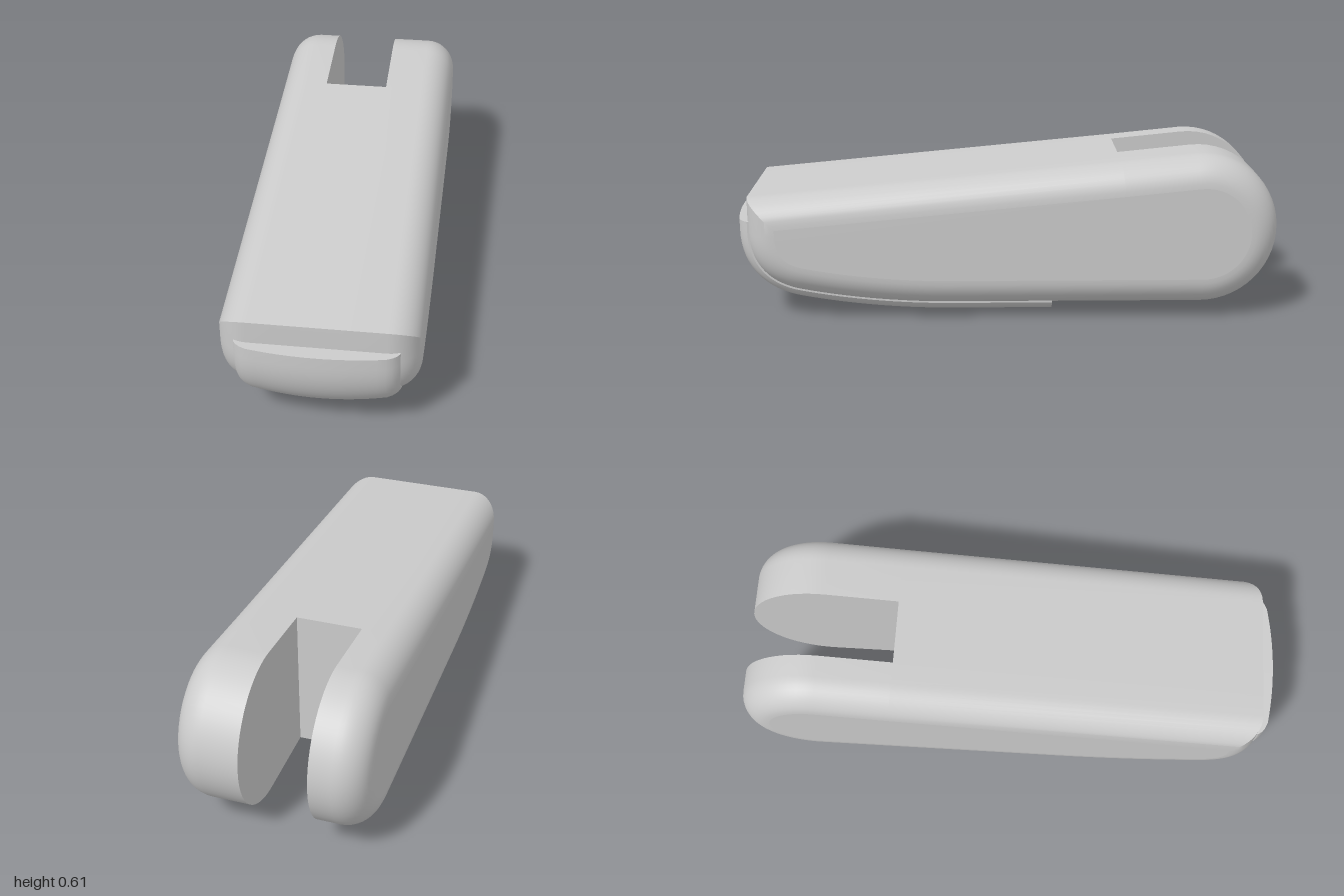
import * as THREE from 'three';
import { toCreasedNormals } from 'three/addons/utils/BufferGeometryUtils.js';

const material = new THREE.MeshStandardMaterial({ color: 0xcccccc });
const V = (z, y) => new THREE.Vector2(-z, y); // side profile point, seen from +x

// Moves a side profile outwards by d, with mitred corners.
function offset(points, d, closed = true) {
  const n = points.length;
  const normal = (a, b) => new THREE.Vector2(a.y - b.y, b.x - a.x).normalize();
  return points.map((p, i) => {
    const prev = points[(i + n - 1) % n], next = points[(i + 1) % n];
    let n1 = normal(prev, p), n2 = normal(p, next);
    if (!closed && i === 0) n1 = n2;
    if (!closed && i === n - 1) n2 = n1;
    return n1.clone().add(n2).multiplyScalar(d / (1 + n1.dot(n2))).add(p);
  });
}

function geometryFrom(corners) {
  const g = new THREE.BufferGeometry();
  g.setAttribute('position', new THREE.Float32BufferAttribute(corners, 3));
  return g;
}

// Skins closed rings { x, pts } given in order of rising x.
function loft(rings) {
  const out = [];
  const put = (r, k) => out.push(r.x, r.pts[k].y, -r.pts[k].x);
  for (let i = 0; i + 1 < rings.length; i++) {
    const a = rings[i], b = rings[i + 1], n = a.pts.length;
    for (let j = 0; j < n; j++) {
      const k = (j + 1) % n;
      put(a, j); put(b, j); put(a, k);
      put(b, j); put(b, k); put(a, k);
    }
  }
  return toCreasedNormals(geometryFrom(out), 0.5);
}

// Flat face of a convex profile at x, facing +x (dir 1) or -x (dir -1).
function cap(pts, x, dir) {
  const out = [];
  for (let j = 1; j + 1 < pts.length; j++) {
    const order = dir > 0 ? [0, j + 1, j] : [0, j, j + 1];
    for (const k of order) out.push(x, pts[k].y, -pts[k].x);
  }
  const g = geometryFrom(out);
  g.computeVertexNormals();
  return g;
}

export function createModel() {
  const model = new THREE.Group();
  const add = (name, geometry, parent = model) => {
    const mesh = new THREE.Mesh(geometry, material);
    mesh.name = name;
    parent.add(mesh);
  };

  const base = 0.052, nose = 0.948, slotZ = -0.42;
  const slotRight = -0.15, slotLeft = 0.09, half = 0.34, round = 0.11;

  // Underside curve, from the flat bottom up to the upright nose
  const belly = new THREE.CubicBezierCurve(V(0.2, base), V(0.4, base), V(0.6, 0.073), V(0.76, 0.105)).getPoints(10);
  const chin = new THREE.CubicBezierCurve(V(0.76, 0.105), V(0.87, 0.127), V(nose, 0.2), V(nose, 0.33)).getPoints(16);
  const under = [...belly, ...chin.slice(1)];

  // Full side profile: slot top, round back end, slot bottom, underside, nose
  const rear = [V(slotZ, 0.585)];
  for (let i = 0; i <= 28; i++) {
    const a = 0.095 - (i / 28) * (Math.PI + 0.095);
    rear.push(V(-0.72 + 0.28 * Math.sin(a), 0.333 + 0.281 * Math.cos(a)));
  }
  // the arc runs from the top, round the back, to the bottom
  rear.push(V(slotZ, base));
  const profile = [...rear, ...under, V(nose, 0.455)];
  const front = [rear[0], rear[rear.length - 1], ...under, V(nose, 0.455)];

  // Body sides with rounded edges, each ending in one prong of the fork
  for (const side of [1, -1]) {
    const group = new THREE.Group();
    group.name = side > 0 ? 'leftSide' : 'rightSide';
    model.add(group);
    const inner = side > 0 ? slotLeft : slotRight;
    const rings = [{ x: inner, pts: profile }];
    for (let i = 0; i <= 10; i++) {
      const t = (i / 10) * Math.PI / 2;
      rings.push({
        x: side * (half - round + round * Math.sin(t)),
        pts: offset(profile, -round * (1 - Math.cos(t))),
      });
    }
    const outerPts = rings[rings.length - 1].pts;
    add('roundedShell', loft(side > 0 ? rings : rings.reverse()), group);
    add('sideFace', cap(outerPts, side * half, side), group);
    add('slotFace', cap(rear, inner, -side), group);
  }

  // Middle of the body, with the end wall of the slot
  add('bodyMiddle', loft([{ x: slotRight, pts: front }, { x: slotLeft, pts: front }]));

  // Crowned plate wrapped under the body and up the nose
  const path = [V(-0.17, base), ...under, V(nose, 0.372)];
  const sunk = -0.012;
  const inside = offset(path, sunk, false).reverse();
  const plateRing = (x, d) => ({ x, pts: [...offset(path, d, false), ...inside] });
  const crown = [];
  for (let i = -8; i <= 8; i++) crown.push([0.23 * i / 8, 0.052 - 0.021 * (i / 8) ** 2]);
  const edge = [[0.25, 0.022], [0.265, 0.011], [0.275, -0.003], [0.275, sunk]];
  const section = [...edge.map(([x, d]) => [-x, d]).reverse(), ...crown, ...edge];
  add('underPlate', loft(section.map(([x, d]) => plateRing(x, d))));

  return model;
}
